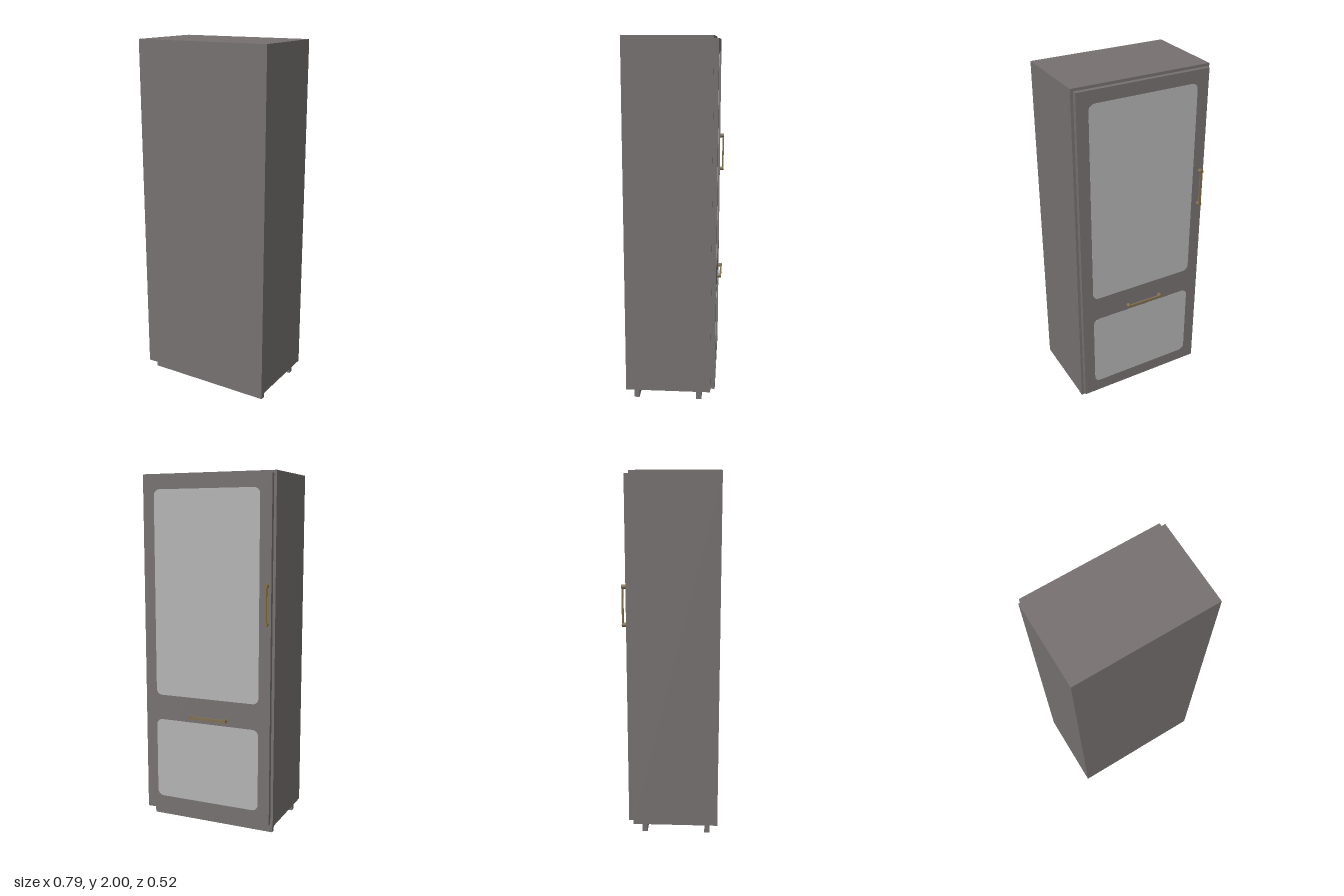
import * as THREE from 'three';

const mat = (name, color) => {
  const m = new THREE.MeshStandardMaterial({ color });
  m.name = name;
  return m;
};

// Box given by its extents along each axis
function box(name, material, [x0, x1], [y0, y1], [z0, z1]) {
  const mesh = new THREE.Mesh(new THREE.BoxGeometry(x1 - x0, y1 - y0, z1 - z0), material);
  mesh.position.set((x0 + x1) / 2, (y0 + y1) / 2, (z0 + z1) / 2);
  mesh.name = name;
  return mesh;
}

// Thin rounded plate centred on x = 0, with its outer face towards -z
function roundedPlate(name, material, halfWidth, y0, y1, r, z, depth) {
  const s = new THREE.Shape();
  const w = halfWidth;
  s.moveTo(-w + r, y0);
  s.lineTo(w - r, y0);
  s.absarc(w - r, y0 + r, r, -Math.PI / 2, 0);
  s.absarc(w - r, y1 - r, r, 0, Math.PI / 2);
  s.absarc(-w + r, y1 - r, r, Math.PI / 2, Math.PI);
  s.absarc(-w + r, y0 + r, r, Math.PI, Math.PI * 1.5);
  const geo = new THREE.ExtrudeGeometry(s, { depth, bevelEnabled: false, curveSegments: 8 });
  const mesh = new THREE.Mesh(geo, material);
  mesh.position.z = z - depth;
  mesh.name = name;
  return mesh;
}

// Bar handle on two round posts, built along x with the door face at z = 0
function handle(name, material, length) {
  const g = new THREE.Group();
  g.name = name;
  const r = 0.0115, reach = 0.024;
  for (const side of [-1, 1]) {
    const post = new THREE.Mesh(new THREE.CylinderGeometry(r, r, reach, 20), material);
    post.rotation.x = Math.PI / 2;
    post.position.set(side * (length / 2 - r), 0, -reach / 2);
    post.name = 'handlePost';
    g.add(post);
  }
  const half = length / 2 - r;
  g.add(box('handleBar', material, [-half, half], [-0.007, 0.007], [-reach + 0.0005, -reach + 0.01]));
  return g;
}

export function createModel() {
  const model = new THREE.Group();
  model.name = 'cabinet';
  const wood = mat('greyBrown', 0x767170);
  const pale = mat('paleGrey', 0xb4b4b4);
  const brass = mat('agedBrass', 0x80704f);
  const doorZ = -0.238;

  // Carcass and door slab
  model.add(box('body', wood, [-0.397, 0.397], [0.055, 2], [-0.213, 0.261]));
  model.add(box('door', wood, [-0.382, 0.382], [0.07, 1.985], [doorZ, -0.213]));

  // Floor rails
  model.add(box('frontRail', wood, [-0.375, 0.375], [0, 0.055], [0.188, 0.217]));
  model.add(box('backRail', wood, [-0.375, 0.375], [0, 0.055], [-0.164, -0.134]));

  // Inset door panels
  model.add(roundedPlate('upperPanel', pale, 0.315, 0.755, 1.915, 0.035, doorZ, 0.001));
  model.add(roundedPlate('lowerPanel', pale, 0.315, 0.145, 0.61, 0.035, doorZ, 0.001));

  // Handles
  const upper = handle('upperHandle', brass, 0.228);
  upper.rotation.z = Math.PI / 2;
  upper.position.set(-0.358, 1.302, doorZ);
  const lower = handle('lowerHandle', brass, 0.23);
  lower.position.set(-0.013, 0.643, doorZ);
  model.add(upper, lower);

  return model;
}
